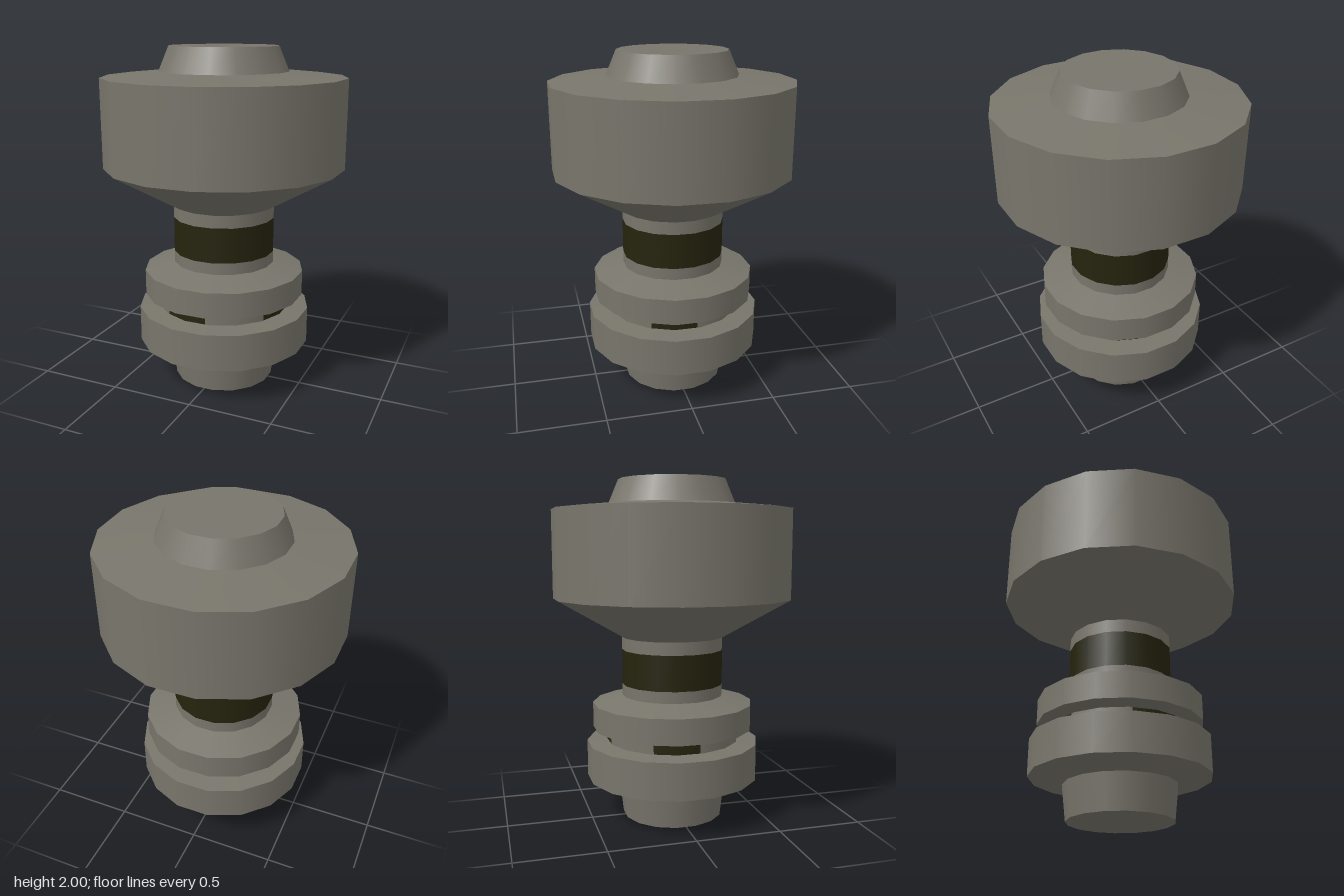
import * as THREE from 'three';

const SIDES = 16;
const STEP = (Math.PI * 2) / SIDES;
const FLAT = Math.cos(STEP / 2); // flat-to-corner ratio of the 16-sided section

export function createModel() {
  const model = new THREE.Group();
  model.name = 'turnedKnob';
  const metal = new THREE.MeshStandardMaterial({ color: 0x78756b });
  metal.name = 'warm grey metal';
  const dark = new THREE.MeshStandardMaterial({ color: 0x25240e });
  dark.name = 'dark olive';

  // One band of the turned body: smooth around, sharp at its rims
  function band(name, y0, r0, y1, r1, material = metal) {
    const geo = new THREE.CylinderGeometry(r1 / FLAT, r0 / FLAT, y1 - y0, SIDES, 1, true, STEP / 2);
    const mesh = new THREE.Mesh(geo, material);
    mesh.name = name;
    mesh.position.y = (y0 + y1) / 2;
    model.add(mesh);
  }

  // Flat end disc
  function cap(name, y, r, up) {
    const mesh = new THREE.Mesh(new THREE.CircleGeometry(r / FLAT, SIDES, STEP / 2), metal);
    mesh.name = name;
    mesh.rotation.x = up ? -Math.PI / 2 : Math.PI / 2;
    mesh.position.y = y;
    model.add(mesh);
  }

  // Foot and lower ring
  cap('footBase', 0, 0.295, false);
  band('foot', 0, 0.295, 0.2, 0.318);
  band('lowerRingUnderside', 0.2, 0.318, 0.24, 0.507);
  band('lowerRing', 0.24, 0.507, 0.456, 0.507);
  band('lowerRingTop', 0.456, 0.507, 0.465, 0.39);

  // Upper ring
  band('upperRingUnderside', 0.52, 0.39, 0.54, 0.47);
  band('upperRing', 0.54, 0.47, 0.69, 0.47);
  band('upperRingTop', 0.69, 0.47, 0.735, 0.295);

  // Neck with dark band
  band('neckLower', 0.735, 0.295, 0.803, 0.295);
  band('neckBand', 0.803, 0.295, 1.01, 0.295, dark);
  band('neckUpper', 1.01, 0.295, 1.085, 0.295);

  // Head
  band('headFlare', 1.085, 0.295, 1.315, 0.69);
  band('head', 1.315, 0.69, 1.828, 0.69);
  band('headTop', 1.828, 0.69, 1.86, 0.367);
  band('crown', 1.86, 0.367, 2, 0.309);
  cap('crownTop', 2, 0.309, true);

  // Groove wall between the rings: dark patches repeat every quarter turn
  const stops = [-33.75, -31, -11.25, 8, 11.25, 33.75, 56.25];
  function grooveWall(name, isDark) {
    const pos = [], nor = [], index = [];
    for (let q = 0; q < 4; q++) {
      for (let i = 0; i < stops.length - 1; i++) {
        if ((i === 1 || i === 2) !== isDark) continue;
        const n = pos.length / 3;
        for (const deg of [stops[i], stops[i + 1]]) {
          const a = THREE.MathUtils.degToRad(deg + q * 90);
          const r = 0.39 / Math.cos(a - Math.round(a / STEP) * STEP);
          for (const y of [0.465, 0.52]) {
            pos.push(r * Math.sin(a), y, r * Math.cos(a));
            nor.push(Math.sin(a), 0, Math.cos(a));
          }
        }
        index.push(n, n + 2, n + 1, n + 1, n + 2, n + 3);
      }
    }
    const geo = new THREE.BufferGeometry();
    geo.setAttribute('position', new THREE.Float32BufferAttribute(pos, 3));
    geo.setAttribute('normal', new THREE.Float32BufferAttribute(nor, 3));
    geo.setIndex(index);
    const mesh = new THREE.Mesh(geo, isDark ? dark : metal);
    mesh.name = name;
    model.add(mesh);
  }
  grooveWall('grooveWall', false);
  grooveWall('groovePatches', true);

  return model;
}
